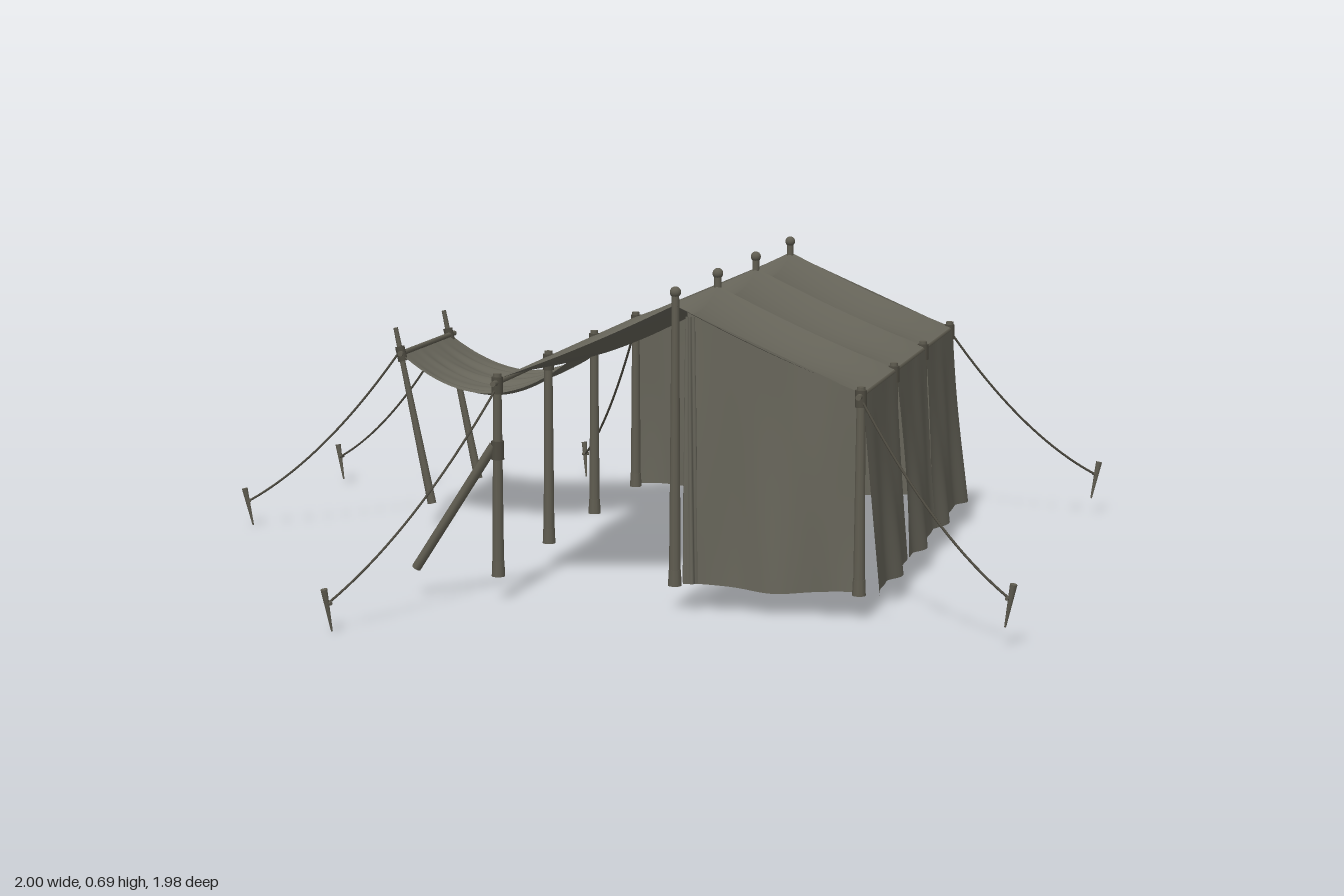
import * as THREE from 'three';
import { ParametricGeometry } from 'three/addons/geometries/ParametricGeometry.js';

const canvas = new THREE.MeshStandardMaterial({ color: 0x67655a, side: THREE.DoubleSide });
canvas.name = 'olive canvas';
const wood = new THREE.MeshStandardMaterial({ color: 0x605d51 });
wood.name = 'weathered wood';
const cord = new THREE.MeshStandardMaterial({ color: 0x4e4b41 });
cord.name = 'dark cord';

const V = (x, y, z) => new THREE.Vector3(x, y, z);
const RIDGE = 0.25, LEFT = 0.645, RIGHT = -0.14, EAVE = 0.49, TOP = 0.66;
const ROWS = [0.58, 0.193, -0.193, -0.58];

// Height of the roof line at a given x, at a pole row
const roofLine = x => x > RIDGE
  ? THREE.MathUtils.mapLinear(x, RIDGE, LEFT, TOP, EAVE)
  : THREE.MathUtils.mapLinear(x, RIGHT, RIDGE, EAVE, TOP);

export function createModel() {
  const model = new THREE.Group();
  model.name = 'tent';

  const add = (name, geometry, material) => {
    const mesh = new THREE.Mesh(geometry, material);
    mesh.name = name;
    model.add(mesh);
    return mesh;
  };
  // Round bar between two points
  const rod = (name, a, b, r0, r1, material = wood, sides = 10) => {
    const mesh = add(name, new THREE.CylinderGeometry(r1, r0, a.distanceTo(b), sides), material);
    mesh.position.copy(a).lerp(b, 0.5);
    mesh.quaternion.setFromUnitVectors(V(0, 1, 0), b.clone().sub(a).normalize());
    return mesh;
  };
  // Cloth sheet from a rule f(u, v) => [x, y, z]
  const cloth = (name, f, nu = 28, nv = 20) =>
    add(name, new ParametricGeometry((u, v, p) => p.set(...f(u, v)), nu, nv), canvas);

  // Roof slopes: taut over the pole rows, sagging between them
  const slope = (name, xEave) => cloth(name, (u, v) => {
    const z = 0.585 - 1.17 * u;
    const w = (u * 3) % 1;
    const sag = 4 * w * (1 - w);
    const x = THREE.MathUtils.lerp(RIDGE, xEave, v);
    const drop = 0.038 * sag * (1 - v * v) + 0.016 * Math.sin(Math.PI * v) * (0.4 + 0.5 * sag);
    return [x, roofLine(x) + 0.003 - drop, z];
  }, 60, 16);
  slope('leftRoof', LEFT + 0.003);
  slope('rightRoof', RIGHT - 0.003);

  // Hanging wall: top edge a to b, leaning out towards the bottom, drawn in at its sides
  const wall = (name, a, b, top, lean, seed) => cloth(name, (u, v) => {
    const waist = 0.012 * Math.sin(Math.PI * Math.min(1, v * 0.9));
    const s = THREE.MathUtils.lerp(waist * 2, 1 - waist * 2, u);
    const p = a.clone().lerp(b, s);
    const fold = v * (0.007 * Math.sin(u * 9 + seed + v * 2) + 0.004 * Math.sin(u * 17 - v * 3 + seed * 2));
    const out = lean.length();
    const n = lean.clone().normalize();
    const bottom = 0.068 + 0.005 * Math.sin(u * 7 + seed);
    p.addScaledVector(n, out * v + fold);
    return [p.x, THREE.MathUtils.lerp(top(p.x), bottom, v), p.z];
  });

  // Three panels close the left side
  for (let i = 0; i < 3; i++) {
    wall('leftWall', V(LEFT + 0.006, 0, ROWS[i] + (i === 0 ? 0.012 : -0.003)),
      V(LEFT + 0.006, 0, ROWS[i + 1] + (i === 2 ? -0.012 : 0.003)),
      () => EAVE - 0.005, V(0.034, 0, 0), i * 1.7);
  }
  // Two panels close the back, one closes half of the front
  wall('backWallRight', V(RIGHT - 0.005, 0, -0.587), V(0.245, 0, -0.587), roofLine, V(0, 0, -0.014), 0.6);
  wall('backWallLeft', V(0.255, 0, -0.587), V(LEFT, 0, -0.587), roofLine, V(0, 0, -0.014), 2.4);
  wall('frontWall', V(0.275, 0, 0.578), V(LEFT, 0, 0.578), roofLine, V(0, 0, 0.008), 1.1);

  // Gathered door curtain beside the front ridge pole
  const bundle = cloth('doorCurtain', (u, v) => {
    const t = u * Math.PI * 2;
    const r = (0.009 + 0.006 * v) * (1 + 0.2 * Math.sin(5 * t + v * 3));
    return [0.284 + r * Math.cos(t), 0.64 - 0.565 * v, 0.586 + r * Math.sin(t)];
  }, 30, 12);
  bundle.castShadow = false;

  // Standing poles with thicker feet, lashings and ridge finials
  for (const z of ROWS) {
    for (const x of [RIGHT, RIDGE, LEFT]) {
      const ridge = x === RIDGE;
      const h = ridge ? 0.685 : 0.505;
      rod(ridge ? 'ridgePole' : 'sidePole', V(x, 0.068, z), V(x, h, z), 0.0125, ridge ? 0.008 : 0.009);
      rod('poleFoot', V(x, 0.066, z), V(x, 0.1, z), 0.0145, 0.013);
      if (ridge) {
        add('finial', new THREE.SphereGeometry(0.012, 14, 10), wood).position.set(x, 0.69, z);
      } else {
        rod('lashing', V(x, EAVE - 0.028, z), V(x, EAVE + 0.008, z), 0.0125, 0.0125, cord);
      }
    }
  }

  // Long bars under both eaves
  for (const x of [RIGHT, LEFT]) {
    rod('eaveBar', V(x, EAVE - 0.004, -0.612), V(x, EAVE - 0.004, 0.612), 0.006, 0.006);
  }

  // Slanting prop at the open front corner
  const prop = rod('cornerProp', V(-0.325, 0.075, 0.582), V(-0.148, 0.35, 0.582), 0.0105, 0.0105, wood, 8);
  prop.name = 'cornerProp';
  rod('propLashing', V(RIGHT, 0.32, 0.58), V(RIGHT, 0.36, 0.58), 0.014, 0.014, cord);

  // Awning hanging in a deep curve, with folds running along it
  cloth('awning', (u, v) => {
    const x = THREE.MathUtils.lerp(RIGHT, -0.622, u);
    const spread = 0.5 + 0.04 * Math.sin(Math.PI * u);
    const half = THREE.MathUtils.lerp(0.42, 0.385, u) * spread;
    const hang = 4 * u * (1 - u);
    const fold = hang * (0.005 * Math.sin(v * 26 + u * 2) + 0.004 * Math.sin(v * 43 - u * 3));
    return [x, THREE.MathUtils.lerp(0.485, 0.432, u) - 0.112 * hang + fold, -0.387 + (v * 2 - 1) * half];
  }, 32, 40);
  rod('awningBar', V(-0.622, 0.434, -0.605), V(-0.622, 0.434, -0.185), 0.0065, 0.0065);
  for (const z of [-0.57, -0.2]) {
    rod('awningPole', V(-0.55, 0.07, z), V(-0.638, 0.495, z), 0.0105, 0.0055);
    rod('awningLashing', V(-0.62, 0.415, z), V(-0.628, 0.45, z), 0.0115, 0.0115, cord);
  }

  // Guy ropes, each tied to a tilted stake
  const guys = [
    [V(LEFT, 0.482, 0.585), V(0.982, 0.115, 0.758)],
    [V(LEFT, 0.482, -0.585), V(0.982, 0.115, -0.765)],
    [V(RIGHT, 0.475, 0.585), V(-0.382, 0.075, 0.972)],
    [V(RIGHT, 0.475, -0.585), V(-0.382, 0.075, -0.978)],
    [V(-0.628, 0.44, -0.565), V(-0.972, 0.085, -0.718)],
    [V(-0.628, 0.44, -0.205), V(-0.98, 0.075, -0.095)]
  ];
  for (const [a, b] of guys) {
    const mid = a.clone().lerp(b, 0.5);
    mid.y -= 0.08;
    add('guyRope', new THREE.TubeGeometry(new THREE.QuadraticBezierCurve3(a, mid, b), 20, 0.0028, 6), cord);
    const out = b.clone().sub(a).setY(0).normalize();
    const head = b.clone().addScaledVector(out, 0.011).setY(b.y + 0.03);
    const tip = b.clone().addScaledVector(out, -0.008).setY(b.y - 0.06);
    rod('stake', tip, head, 0.002, 0.0075, wood, 8);
    const side = V(-out.z, 0, out.x).multiplyScalar(0.009);
    rod('stakePeg', b.clone().sub(side), b.clone().add(side), 0.004, 0.004, wood, 8);
  }
  return model;
}
